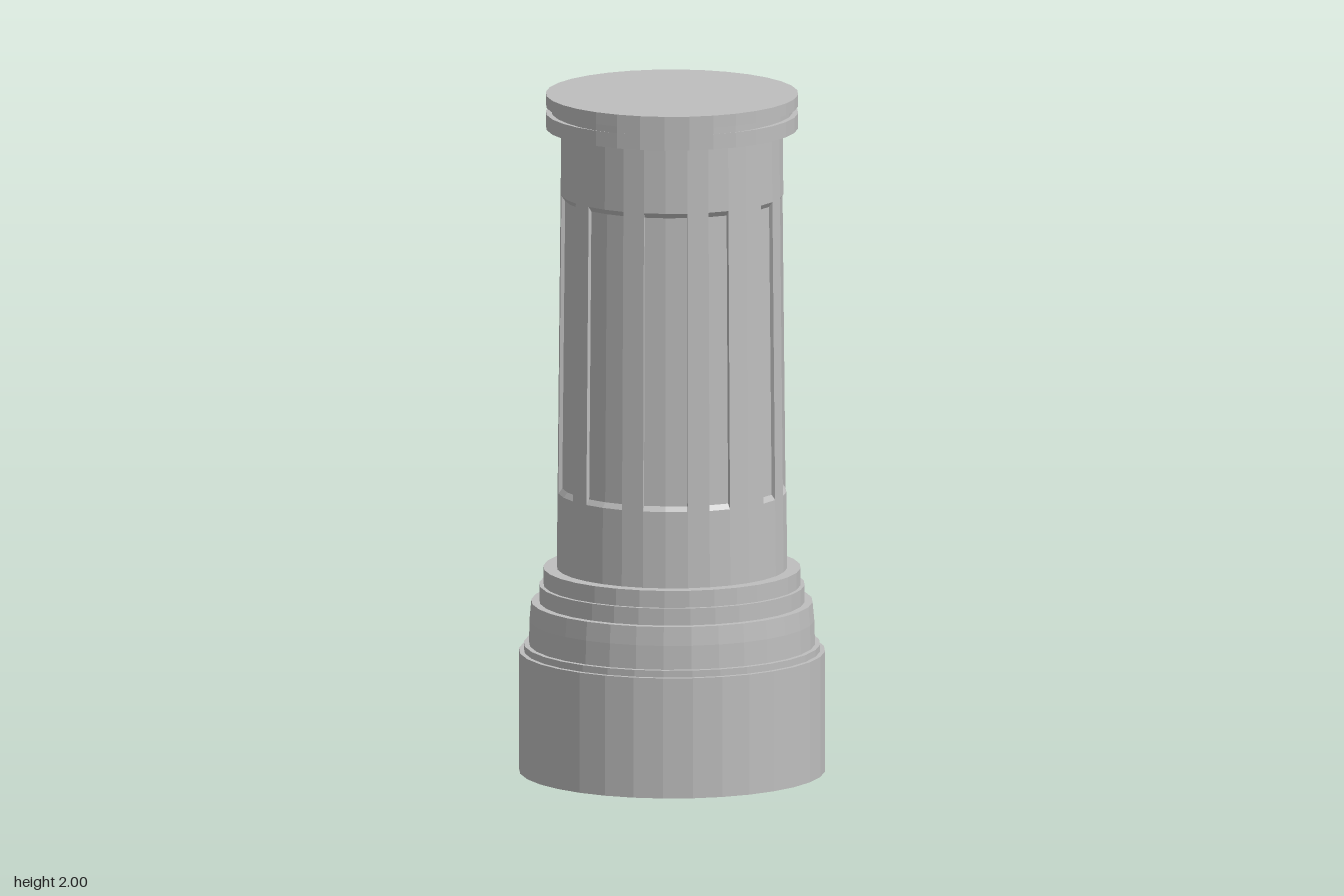
import * as THREE from 'three';

const SIDES = 32;
const STEP = (Math.PI * 2) / SIDES;
const DEPTH = 0.011; // how far the panels sink into the shaft

// Faceted lathe covering the sides first..last
function turned(profile, first = 0, last = SIDES) {
  const pts = profile.map(([r, y]) => new THREE.Vector2(r, y));
  return new THREE.LatheGeometry(pts, last - first, first * STEP, (last - first) * STEP);
}

// Give every facet its own flat normal
function faceted(geometry) {
  const g = geometry.index ? geometry.toNonIndexed() : geometry;
  g.computeVertexNormals();
  return g;
}

// Gently tapering shaft
const shaftRadius = (y) => 0.335 - 0.01 * (y - 0.6);

export function createModel() {
  const stone = new THREE.MeshStandardMaterial({ color: 0xbebebe });
  stone.name = 'grey stone';
  const model = new THREE.Group();
  model.name = 'column';
  const add = (name, geometry, parent = model) => {
    const mesh = new THREE.Mesh(faceted(geometry), stone);
    mesh.name = name;
    parent.add(mesh);
  };

  // Plinth and stepped base
  add('base', turned([
    [0, 0], [0.445, 0], [0.445, 0.355], [0.431, 0.355], [0.431, 0.375],
    [0.416, 0.375], [0.414, 0.445], [0.409, 0.5], [0.386, 0.5], [0.386, 0.55],
    [0.374, 0.55], [0.374, 0.6], [0.33, 0.6],
  ]));

  // Plain bands of the shaft below and above the panels
  const low = 0.825, high = 1.705;
  const ring = (y) => [shaftRadius(y), y];
  add('lowerShaft', turned([ring(0.6), ring(low)]));
  add('upperShaft', turned([ring(high), ring(1.9)]));

  // Sunken panels, given as start and end sides, with ribs between them
  const panels = [[-1, 1], [2, 3], [5, 6]];
  for (let s = 7; s < 30; s += 3) panels.push([s, s + 2]);
  const recess = [
    ring(low),
    [shaftRadius(0.84) - DEPTH, 0.84],
    [shaftRadius(1.69) - DEPTH, 1.69],
    ring(high),
  ];
  const flutes = new THREE.Group();
  flutes.name = 'flutedShaft';
  model.add(flutes);

  panels.forEach(([first, last], i) => {
    const next = i + 1 < panels.length ? panels[i + 1][0] : panels[0][0] + SIDES;
    add('panel', turned(recess, first, last), flutes);
    add('rib', turned([ring(low), ring(high)], last, next), flutes);

    // Radial side walls of the recess
    [[first, [0, 1, 2, 0, 2, 3]], [last, [0, 2, 1, 0, 3, 2]]].forEach(([side, index]) => {
      const a = side * STEP;
      const corners = recess.map(([r, y]) => new THREE.Vector3(r * Math.sin(a), y, r * Math.cos(a)));
      const wall = new THREE.BufferGeometry().setFromPoints(corners);
      wall.setIndex(index);
      add('panelSide', wall, flutes);
    });
  });

  // Capital with a groove that deepens towards the left and right
  const capital = turned([
    [0.31, 1.9], [0.367, 1.9], [0.367, 1.945], [0.3669, 1.945],
    [0.3669, 1.965], [0.367, 1.965], [0.367, 2], [0, 2],
  ]);
  const p = capital.attributes.position;
  for (let i = 0; i < p.count; i++) {
    const row = i % 8;
    if (row !== 3 && row !== 4) continue;
    const side = Math.abs(p.getX(i)) / 0.3669;
    const k = 1 - 0.045 * THREE.MathUtils.smoothstep(side, 0.45, 0.95);
    p.setX(i, p.getX(i) * k);
    p.setZ(i, p.getZ(i) * k);
  }
  add('capital', capital);

  return model;
}
